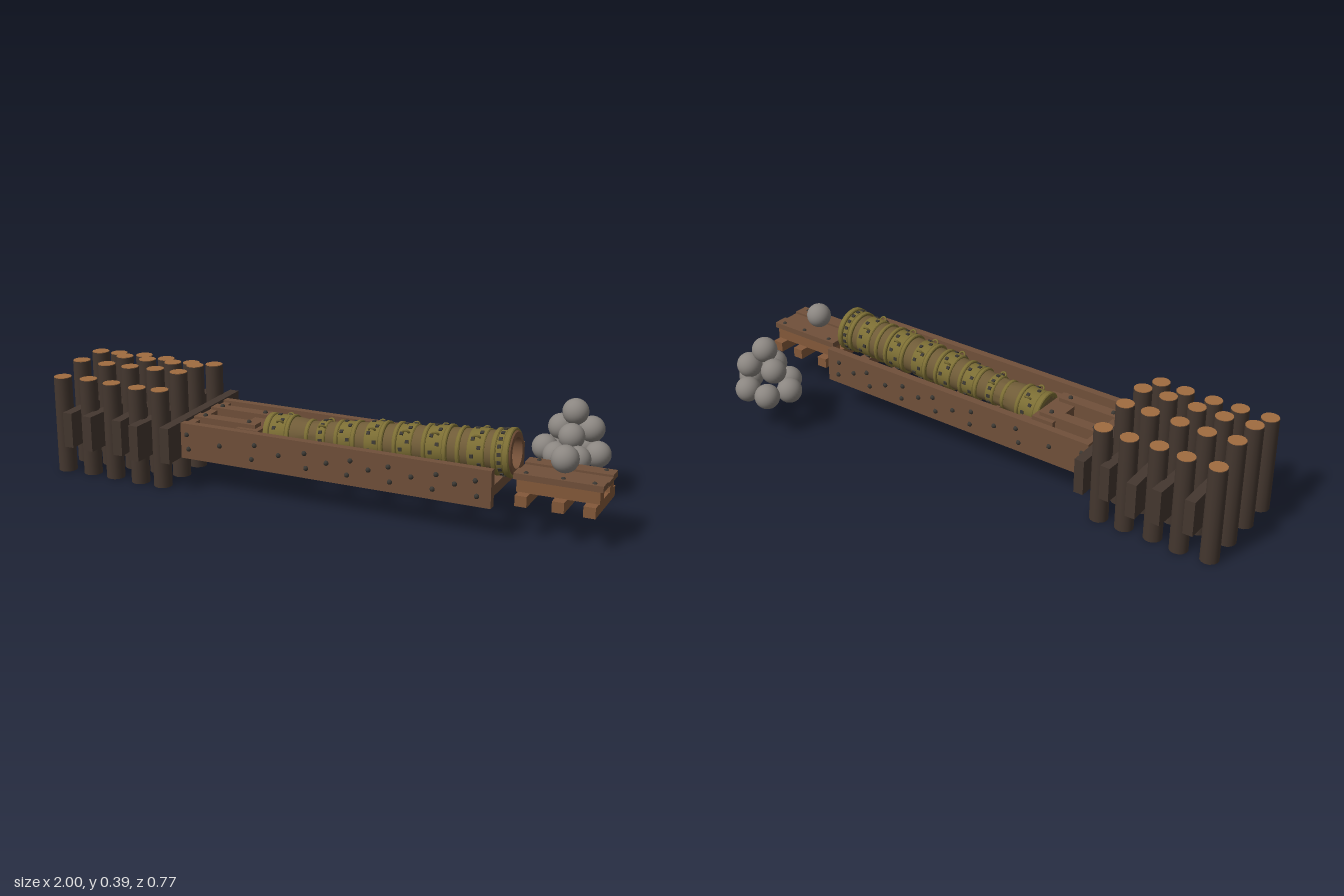
import * as THREE from 'three';
import { toCreasedNormals } from 'three/addons/utils/BufferGeometryUtils.js';

const mat = (name, color) => {
  const m = new THREE.MeshStandardMaterial({ color });
  m.name = name;
  return m;
};

export function createModel() {
  const root = new THREE.Group();
  root.name = 'siegeCannon';
  const timber = mat('timber', 0x70503a);
  const paleTimber = mat('paleTimber', 0x84593a);
  const bark = mat('bark', 0x44372f);
  const cutWood = mat('cutWood', 0xa06c40);
  const bronze = mat('bronze', 0x7c6e34);
  const agedBronze = mat('agedBronze', 0x705c38);
  const muzzleBrown = mat('muzzleBrown', 0x745038);
  const iron = mat('iron', 0x3b3833);
  const stone = mat('stone', 0x8b8681);

  const add = (parent, name, geo, material, x = 0, y = 0, z = 0) => {
    const m = new THREE.Mesh(geo, material);
    m.name = name;
    m.position.set(x, y, z);
    parent.add(m);
    return m;
  };
  // Box given by its limits on each axis
  const box = (parent, name, material, x0, x1, y0, y1, z0, z1) =>
    add(parent, name, new THREE.BoxGeometry(x1 - x0, y1 - y0, z1 - z0), material,
      (x0 + x1) / 2, (y0 + y1) / 2, (z0 + z1) / 2);
  const group = (name) => {
    const g = new THREE.Group();
    g.name = name;
    root.add(g);
    return g;
  };
  let seed = 7;
  const jitter = (a) => {
    seed = (seed * 16807) % 2147483647;
    return (seed / 2147483647 - 0.5) * 2 * a;
  };
  const CZ = 0.117; // centre line of gun and frame

  // Palisade of posts, with cut tops
  const palisade = group('palisade');
  const postGeo = new THREE.CylinderGeometry(0.032, 0.033, 1, 14);
  const capGeo = new THREE.CylinderGeometry(0.031, 0.031, 0.004, 14);
  const rows = [[-0.075, 0.353], [0.047, 0.386], [0.168, 0.386], [0.29, 0.353]];
  [-0.966, -0.862, -0.762, -0.654, -0.56].forEach((x) => {
    rows.forEach(([z, h]) => {
      const px = x + jitter(0.002), pz = z + jitter(0.007);
      const top = h - Math.abs(jitter(0.008));
      add(palisade, 'post', postGeo, bark, px, top / 2, pz).scale.y = top;
      add(palisade, 'postTop', capGeo, cutWood, px, top, pz);
    });
  });
  // Cross planks between the posts
  [[-0.912, -0.14, 0.36, 0.02], [-0.812, -0.15, 0.365, -0.035], [-0.71, -0.165, 0.36, 0.04],
    [-0.608, -0.13, 0.383, -0.03], [-0.508, -0.145, 0.36, 0.015]].forEach(([x, z0, z1, turn]) => {
    box(palisade, 'crossPlank', bark, x - 0.018, x + 0.018, 0.112, 0.24, z0, z1).rotation.y = turn;
  });

  // Long frame: side rails, sleepers and nails
  const frame = group('frame');
  const nailGeo = new THREE.SphereGeometry(0.009, 8, 6);
  const sleepers = [-0.455, -0.205, 0.003, 0.155, 0.31, 0.46, 0.612];
  for (const side of [-1, 1]) {
    const z = CZ + side * 0.15;
    box(frame, 'sideRail', timber, -0.485, 0.66, 0.112, 0.24, CZ + side * 0.15 - 0.014, CZ + side * 0.15 + 0.014);
    sleepers.forEach((x, i) => {
      add(frame, 'nail', nailGeo, iron, x, 0.148, z + side * 0.014);
      add(frame, 'nail', nailGeo, iron, x + (i % 2 ? 0.012 : -0.006), 0.2, z + side * 0.014);
      if (i) add(frame, 'nail', nailGeo, iron, (x + sleepers[i - 1]) / 2, 0.178, z + side * 0.014);
    });
  }
  sleepers.forEach((x) => {
    box(frame, 'sleeper', timber, x - 0.02, x + 0.02, 0.114, 0.152, CZ - 0.14, CZ + 0.14);
  });
  // Recoil block and buffer beams behind the breech
  box(frame, 'rearBoard', timber, -0.485, -0.455, 0.112, 0.232, CZ - 0.14, CZ + 0.14);
  box(frame, 'recoilBlock', timber, -0.3, -0.148, 0.114, 0.195, CZ - 0.14, CZ + 0.14);
  box(frame, 'breechStop', timber, -0.3, -0.215, 0.19, 0.228, CZ - 0.1, CZ + 0.1);
  for (const side of [-1, 1]) {
    const z = CZ + side * 0.06;
    box(frame, 'bufferBeam', timber, -0.48, -0.235, 0.18, 0.242, z - 0.022, z + 0.022);
    for (const x of [-0.445, -0.27]) add(frame, 'bolt', nailGeo, iron, x, 0.242, z);
  }

  // Gun barrel, lying along +x and tilted up a little
  const gun = group('gun');
  gun.position.set(-0.215, 0.199, CZ);
  gun.rotation.z = 0.061;
  const lathe = (name, points, material) => {
    const geo = new THREE.LatheGeometry(points.map(([s, r]) => new THREE.Vector2(r, s)), 32);
    geo.rotateZ(-Math.PI / 2);
    return add(gun, name, toCreasedNormals(geo, 0.6), material);
  };
  lathe('barrel', [[0, 0], [0, 0.055], [0.02, 0.062], [0.12, 0.058], [0.17, 0.05], [0.24, 0.052],
    [0.3, 0.058], [0.5, 0.063], [0.7, 0.068], [0.895, 0.07]], agedBronze);
  lathe('muzzle', [[0.895, 0.078], [0.905, 0.07], [0.905, 0.052], [0.7, 0.05], [0.7, 0]], muzzleBrown);

  // Raised bands: start, end, radius, stud count
  const studGeo = new THREE.BoxGeometry(0.012, 0.007, 0.012);
  [[0.0, 0.022, 0.068, 0], [0.022, 0.085, 0.064, 12], [0.085, 0.1, 0.067, 0], [0.155, 0.17, 0.056, 0],
    [0.2, 0.235, 0.056, 12], [0.27, 0.285, 0.062, 0], [0.285, 0.335, 0.06, 14], [0.335, 0.35, 0.066, 0],
    [0.385, 0.44, 0.067, 14], [0.44, 0.455, 0.072, 0], [0.49, 0.505, 0.073, 0], [0.505, 0.56, 0.069, 16],
    [0.595, 0.61, 0.075, 0], [0.61, 0.67, 0.072, 16], [0.67, 0.685, 0.078, 0], [0.715, 0.73, 0.076, 0],
    [0.755, 0.815, 0.074, 16], [0.838, 0.855, 0.079, 0], [0.855, 0.88, 0.077, 18],
    [0.88, 0.9, 0.083, 0]].forEach(([a, b, r, studs]) => {
    lathe('band', [[a, r - 0.02], [a, r - 0.003], [a + 0.003, r], [b - 0.003, r], [b, r - 0.003], [b, r - 0.02]], bronze);
    for (let i = 0; i < studs; i++) {
      const t = (i / studs) * Math.PI * 2;
      const s = (a + b) / 2 + (b - a > 0.04 ? (i % 2 ? 0.012 : -0.012) : 0);
      add(gun, 'stud', studGeo, iron, s, Math.cos(t) * r, Math.sin(t) * r).rotation.x = t;
    }
  });
  // Lifting lugs
  const lugGeo = new THREE.TorusGeometry(0.011, 0.004, 6, 12);
  [[0.06, 0.064], [0.22, 0.056], [0.41, 0.067], [0.535, 0.069], [0.64, 0.072], [0.785, 0.074]].forEach(([s, r]) => {
    for (const t of [-0.7, 0.7])
      add(gun, 'liftingLug', lugGeo, bronze, s, Math.cos(t) * r, Math.sin(t) * r).rotation.x = t;
  });

  // Loading tray in front of the muzzle
  const tray = group('loadingTray');
  [0.742, 0.865, 0.967].forEach((x) => {
    box(tray, 'trayFoot', paleTimber, x - 0.02, x + 0.02, 0.116, 0.153, 0.004, 0.232);
    for (const side of [-1, 1]) add(tray, 'trayNail', nailGeo, iron, x, 0.213, CZ + side * 0.068);
  });
  for (const side of [-1, 1]) {
    const z = CZ + side * 0.058;
    box(tray, 'trayBearer', paleTimber, 0.715, 0.99, 0.152, 0.196, z - 0.022, z + 0.022);
    box(tray, 'traySideBoard', timber, 0.705, 1.0, 0.195, 0.216, z - 0.027, z + 0.027);
  }
  box(tray, 'trayBoard', timber, 0.705, 1.0, 0.193, 0.209, CZ - 0.03, CZ + 0.03);

  // Stone shot: one on the tray, a pile beside it
  const shot = group('shot');
  const ballGeo = new THREE.SphereGeometry(0.046, 28, 20);
  [[0.848, 0.258, CZ], [0.7, 0.157, -0.337], [0.795, 0.157, -0.337], [0.667, 0.157, -0.255],
    [0.857, 0.157, -0.255], [0.727, 0.157, -0.19], [0.808, 0.157, -0.176], [0.715, 0.232, -0.28],
    [0.82, 0.232, -0.295], [0.772, 0.222, -0.215], [0.768, 0.297, -0.264]].forEach(([x, y, z]) => {
    add(shot, 'stoneBall', ballGeo, stone, x, y, z);
  });
  return root;
}
